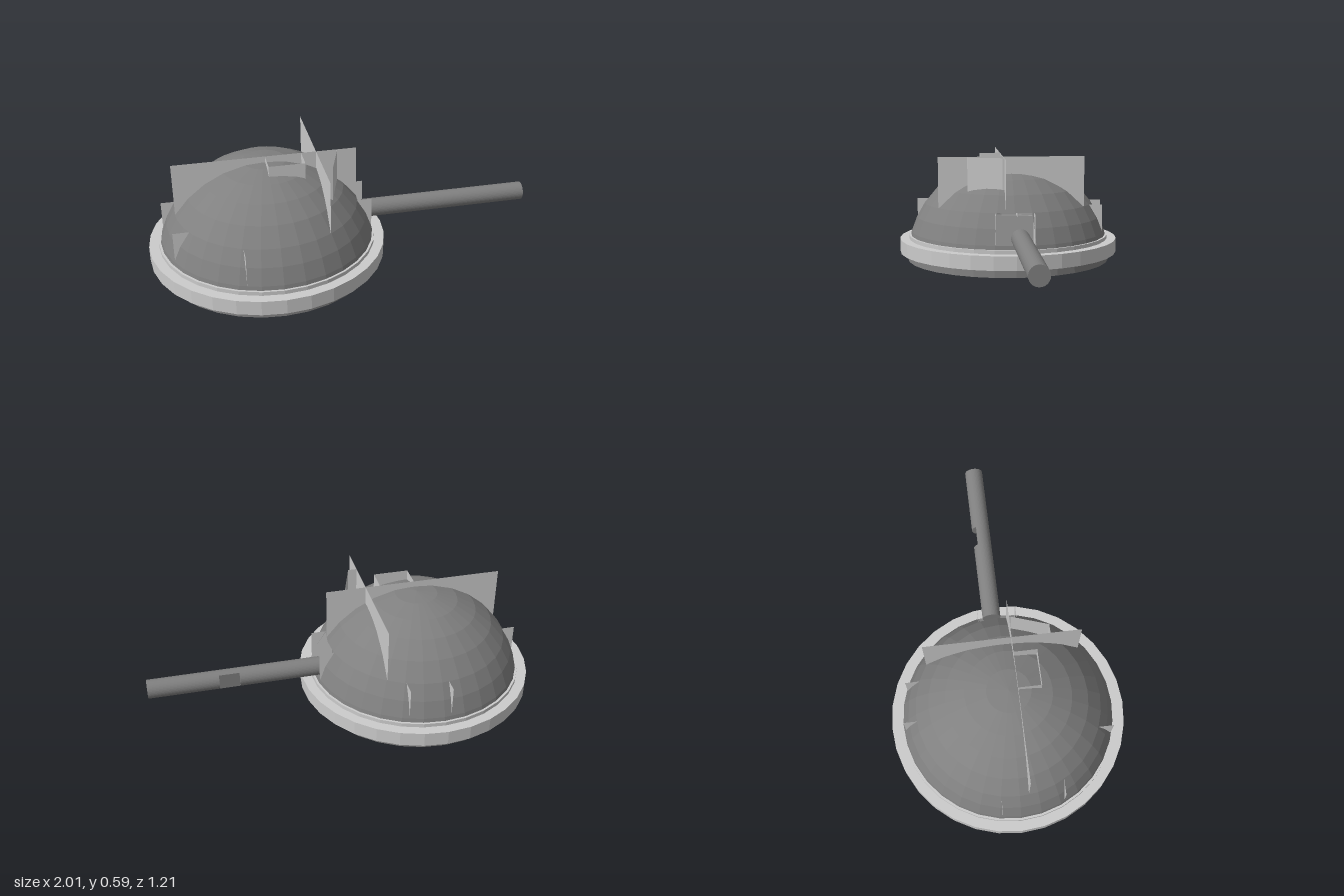
import * as THREE from 'three';

const CX = -0.4; // dome axis
const R = 0.5625; // dome radius
const light = new THREE.MeshStandardMaterial({ color: 0xcccccc, flatShading: true });
const thin = new THREE.MeshStandardMaterial({ color: 0xcccccc, flatShading: true, side: THREE.DoubleSide });
const inside = new THREE.MeshStandardMaterial({ color: 0xcccccc, flatShading: true, side: THREE.BackSide });
const dark = new THREE.MeshStandardMaterial({ color: 0x808080, flatShading: true });

export function createModel() {
  const model = new THREE.Group();

  function add(name, geometry, material, x = 0, y = 0, z = 0) {
    const mesh = new THREE.Mesh(geometry, material);
    mesh.name = name;
    mesh.position.set(x, y, z);
    model.add(mesh);
    return mesh;
  }

  // Thin upright plate between two plan points [x, z]
  function plate(name, [x1, z1], [x2, z2], y0, y1) {
    const g = new THREE.PlaneGeometry(Math.hypot(x2 - x1, z2 - z1), y1 - y0);
    const mesh = add(name, g, thin, (x1 + x2) / 2, (y0 + y1) / 2, (z1 + z2) / 2);
    mesh.rotation.y = -Math.atan2(z2 - z1, x2 - x1);
  }

  // Hemisphere in three bands; the middle one leaves an opening for the rod
  const t1 = Math.acos(0.317 / R), t2 = Math.acos(0.16 / R);
  const step = Math.PI / 16;
  const bands = [
    ['domeTop', 32, 5, 0, Math.PI * 2, 0, t1],
    ['domeMiddle', 30, 2, Math.PI + step, Math.PI * 2 - 2 * step, t1, t2 - t1],
    ['domeBottom', 32, 2, 0, Math.PI * 2, t2, Math.PI / 2 - t2],
  ];
  for (const [name, ...args] of bands) {
    const g = new THREE.SphereGeometry(R, ...args);
    add(name, g, dark, CX);
    add(name + 'Inside', g, inside, CX);
  }

  // Inner floor closing the dome
  const floorMaterial = dark.clone();
  floorMaterial.side = THREE.DoubleSide;
  const floor = add('floor', new THREE.CircleGeometry(0.54, 32), floorMaterial, CX, 0.155);
  floor.rotation.x = Math.PI / 2;

  // Base ring with a projecting flange
  const profile = [
    [0.54, 0.15], [0.54, 0], [0.555, 0], [0.555, 0.045], [0.605, 0.045],
    [0.605, 0.12], [0.555, 0.12], [0.555, 0.14], [0.54, 0.14],
  ].map(([r, y]) => new THREE.Vector2(r, y));
  add('baseRing', new THREE.LatheGeometry(profile, 32), light, CX);

  // Crossed walls over the dome
  plate('longWall', [-0.86, 0.045], [0.06, 0.045], 0.32, 0.59);
  plate('crossWall', [-0.145, -0.39], [-0.145, 0.39], 0.32, 0.59);

  // Small enclosures against the walls
  const enclosures = [
    ['topEnclosure', 0.47, [[-0.4, 0.045], [-0.4, 0.16], [-0.22, 0.16], [-0.22, 0.045]]],
    ['sideEnclosure', 0.4, [[-0.145, 0.235], [-0.1, 0.235], [-0.04, 0.055], [-0.04, 0.045]]],
  ];
  for (const [name, y0, pts] of enclosures) {
    for (let i = 1; i < pts.length; i++) plate(name, pts[i - 1], pts[i], y0, 0.59);
  }

  // Fins round the lower dome, from inner to outer end
  const fins = [
    [[-0.57, 0.4], [-0.57, 0.51]],
    [[-0.78, 0.225], [-0.885, 0.225]],
    [[-0.82, -0.09], [-0.925, -0.09]],
    [[-0.436, -0.42], [-0.436, -0.53]],
    [[-0.23, -0.4], [-0.23, -0.505]],
    [[0.02, 0.1], [0.13, 0.1]],
    [[0.02, -0.1], [0.13, -0.1]],
  ];
  for (const [a, b] of fins) plate('fin', a, b, 0.16, 0.317);

  // Rod along x, with a flat notch cut in its back
  function rod(name, x0, x1, cut) {
    const shape = new THREE.Shape();
    const r = 0.048, a = cut ? Math.acos(0.025 / r) : 0;
    shape.absarc(0, 0, r, a, Math.PI * 2 - a, false);
    const g = new THREE.ExtrudeGeometry(shape, { depth: x1 - x0, bevelEnabled: false, curveSegments: 20 });
    g.rotateY(Math.PI / 2);
    add(name, g, dark, x0, 0.195, -0.025);
  }
  rod('rodInner', 0.115, 0.535, false);
  rod('rodNotch', 0.535, 0.64, true);
  rod('rodOuter', 0.64, 1, false);

  return model;
}
